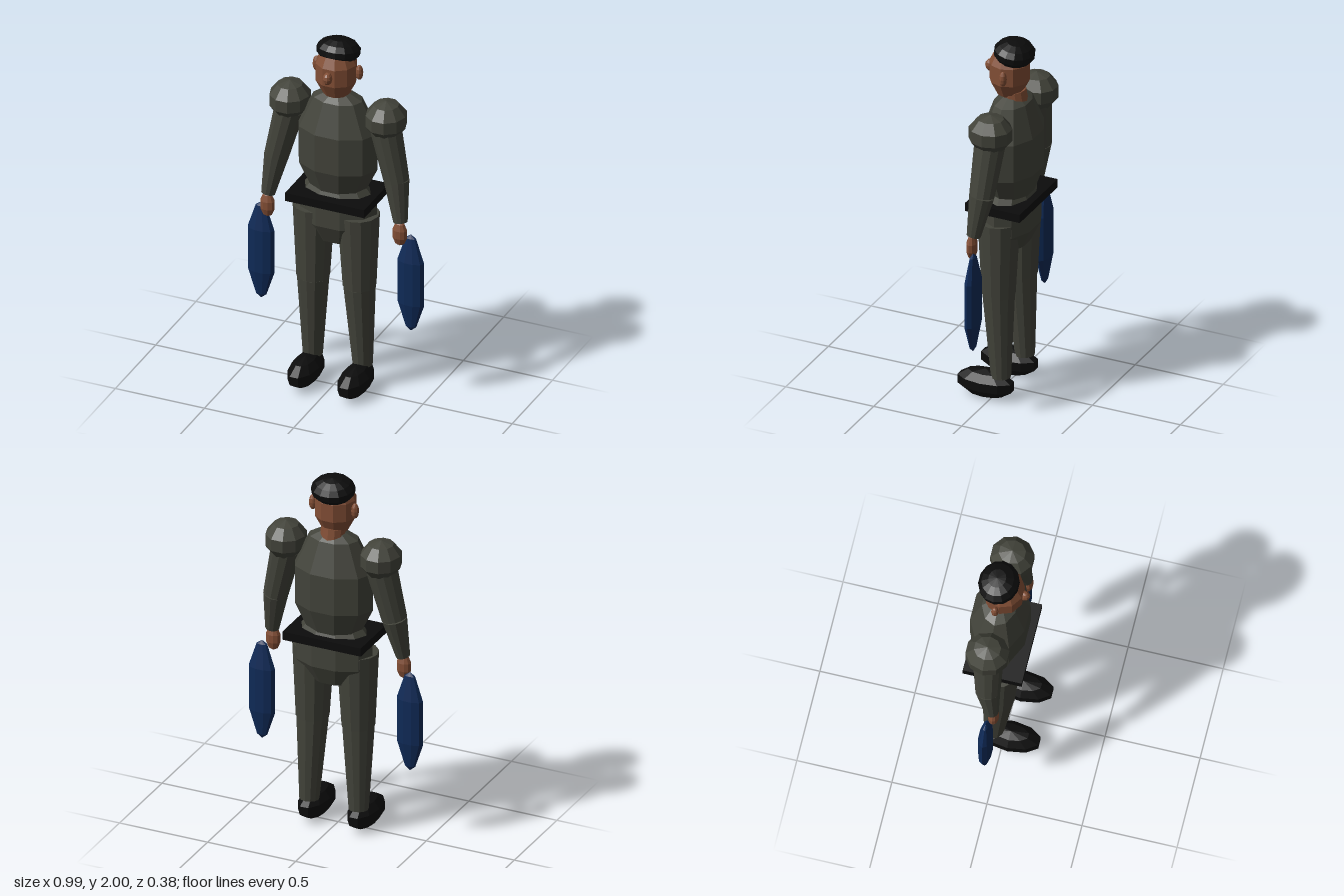
import * as THREE from 'three';

const flat = (name, color) => {
  const m = new THREE.MeshStandardMaterial({ color, flatShading: true });
  m.name = name;
  return m;
};

export function createModel() {
  const model = new THREE.Group();
  model.name = 'figure';
  const cloth = flat('greyCloth', 0x42433a);
  const skin = flat('skin', 0x824e35);
  const black = flat('black', 0x0c0c0c);
  const blue = flat('blue', 0x0f2a57);

  const add = (name, geometry, material, parent = model) => {
    const mesh = new THREE.Mesh(geometry, material);
    mesh.name = name;
    parent.add(mesh);
    return mesh;
  };

  // Faceted ellipsoid given its centre and radii
  const blob = (name, material, centre, radii, cols = 10, rows = 5) => {
    const mesh = add(name, new THREE.SphereGeometry(1, cols, rows), material);
    mesh.position.set(...centre);
    mesh.scale.set(...radii);
    return mesh;
  };

  // Tapered limb running from a (radius ra) up to b (radius rb)
  const limb = (name, material, a, ra, b, rb) => {
    const from = new THREE.Vector3(...a), to = new THREE.Vector3(...b);
    const dir = to.clone().sub(from);
    const mesh = add(name, new THREE.CylinderGeometry(rb, ra, dir.length(), 12), material);
    mesh.position.copy(from).add(to).multiplyScalar(0.5);
    mesh.quaternion.setFromUnitVectors(new THREE.Vector3(0, 1, 0), dir.normalize());
    return mesh;
  };

  // Trunk
  blob('torso', cloth, [0, 1.385, -0.05], [0.232, 0.34, 0.158]);
  blob('pelvis', cloth, [0, 1.02, -0.048], [0.23, 0.215, 0.14]);
  add('belt', new THREE.BoxGeometry(0.444, 0.047, 0.31), black).position.set(0, 1.106, -0.04);

  // Head
  limb('neck', skin, [0, 1.62, -0.07], 0.066, [0, 1.715, -0.052], 0.066);
  blob('head', skin, [0, 1.827, -0.03], [0.115, 0.16, 0.11]);
  blob('nose', skin, [0, 1.83, 0.078], [0.025, 0.034, 0.029], 10, 6);
  const hair = blob('hair', black, [0, 1.933, -0.058], [0.118, 0.068, 0.108], 14, 7);
  hair.rotation.x = -0.15;

  // Long pointed bag profile
  const bagProfile = [[0, 0.4], [0.03, 0.425], [0.075, 0.56], [0.075, 0.805], [0.03, 0.94], [0, 0.962]]
    .map(([r, y]) => new THREE.Vector2(r, y));

  for (const [side, s] of [['left', 1], ['right', -1]]) {
    blob(side + 'Ear', skin, [s * 0.12, 1.83, -0.05], [0.021, 0.043, 0.02], 10, 6);

    // Arm
    const elbow = [s * 0.336, 1.255, -0.035];
    blob(side + 'Shoulder', cloth, [s * 0.27, 1.59, -0.053], [0.112, 0.106, 0.12]);
    limb(side + 'UpperArm', cloth, elbow, 0.066, [s * 0.268, 1.54, -0.05], 0.082);
    limb(side + 'Forearm', cloth, [s * 0.371, 1.035, -0.006], 0.037, elbow, 0.066);
    blob(side + 'Hand', skin, [s * 0.371, 0.972, 0.004], [0.042, 0.07, 0.029]);

    // Carried bag
    const bag = add(side + 'Bag', new THREE.LatheGeometry(bagProfile, 10, Math.PI / 2), blue);
    bag.position.set(s * 0.42, 0, -0.026);
    bag.scale.z = 0.47;

    // Leg
    const knee = [s * 0.13, 0.6, -0.031];
    limb(side + 'Thigh', cloth, knee, 0.087, [s * 0.125, 1.02, -0.03], 0.11);
    limb(side + 'Shin', cloth, [s * 0.14, 0.13, -0.049], 0.052, knee, 0.084);
    blob(side + 'Shoe', black, [s * 0.14, 0.078, 0.038], [0.08, 0.078, 0.166]);
  }
  return model;
}
